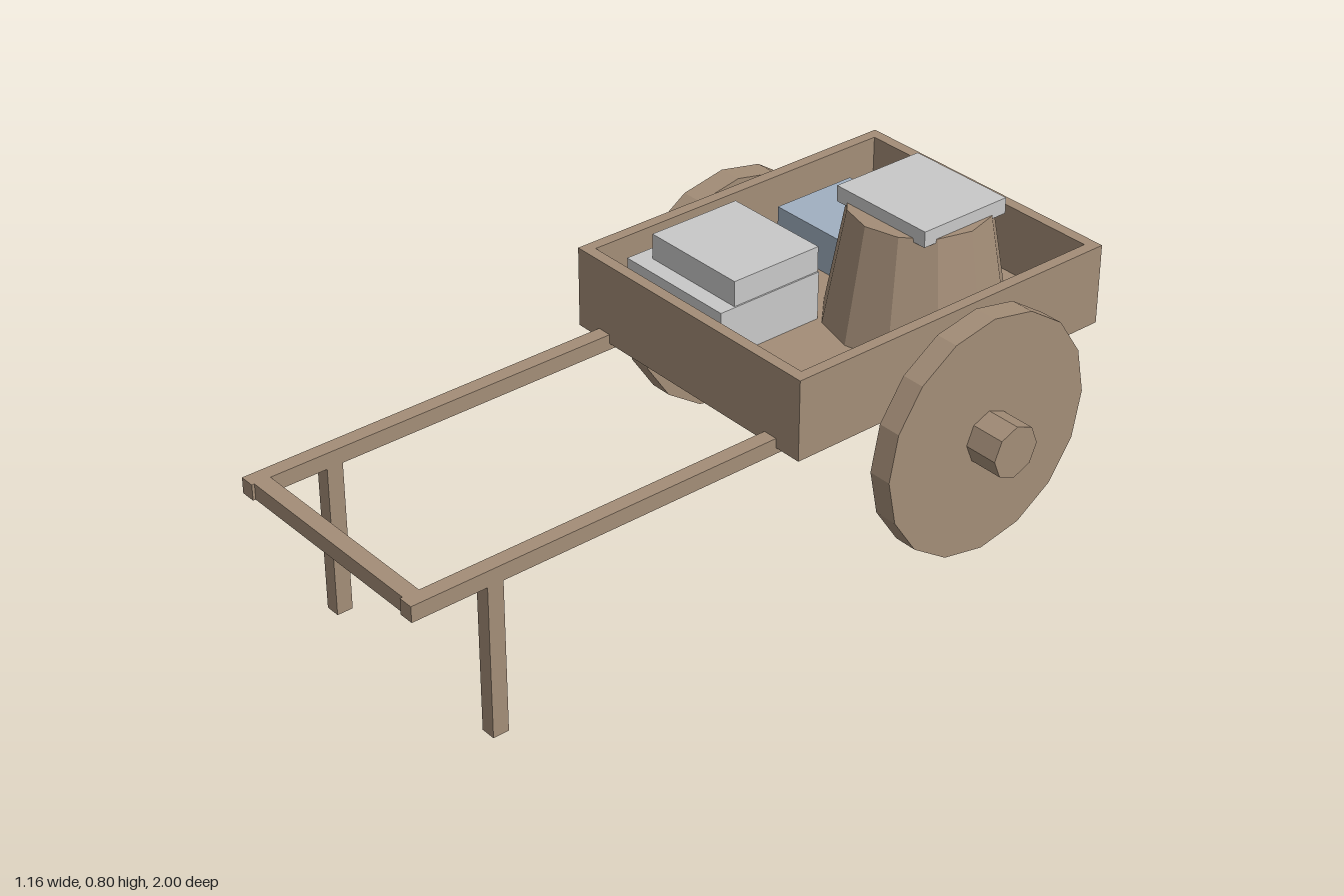
import * as THREE from 'three';

export function createModel() {
  const cart = new THREE.Group();
  cart.name = 'handcart';

  const material = (name, color) => {
    const m = new THREE.MeshStandardMaterial({ color, flatShading: true });
    m.name = name;
    return m;
  };
  const wood = material('wood', 0xa38d77);
  const grey = material('pale grey', 0xc8c8c8);
  const blue = material('dusty blue', 0xa0afc0);

  const add = (name, geometry, mat, x = 0, y = 0, z = 0) => {
    const mesh = new THREE.Mesh(geometry, mat);
    mesh.name = name;
    mesh.position.set(x, y, z);
    cart.add(mesh);
    return mesh;
  };
  // Box given by its low and high limits on each axis
  const box = (name, mat, [x0, x1], [y0, y1], [z0, z1]) =>
    add(name, new THREE.BoxGeometry(x1 - x0, y1 - y0, z1 - z0), mat,
      (x0 + x1) / 2, (y0 + y1) / 2, (z0 + z1) / 2);

  // Open tray: rectangular wall ring with a floor inside
  const rect = (Type, x0, x1, y0, y1) => new Type([
    new THREE.Vector2(x0, y0), new THREE.Vector2(x1, y0),
    new THREE.Vector2(x1, y1), new THREE.Vector2(x0, y1),
  ]);
  const ring = rect(THREE.Shape, -0.4, 0.4, 0.025, 1);
  ring.holes.push(rect(THREE.Path, -0.37, 0.37, 0.055, 0.97));
  const walls = new THREE.ExtrudeGeometry(ring, { depth: 0.215, bevelEnabled: false });
  walls.rotateX(-Math.PI / 2);
  add('trayWalls', walls, wood, 0, 0.425, 0);
  box('trayFloor', wood, [-0.37, 0.37], [0.425, 0.46], [-0.97, -0.055]);

  // Wheels, hubs, handles and legs on both sides
  for (const s of [1, -1]) {
    const side = s > 0 ? 'left' : 'right';
    const disc = (name, r, x0, x1, sides) => {
      const g = new THREE.CylinderGeometry(r, r, x1 - x0, sides);
      g.rotateZ(Math.PI / 2);
      add(name, g, wood, s * (x0 + x1) / 2, 0.32, -0.553);
    };
    disc(side + 'Wheel', 0.32, 0.422, 0.485, 16);
    disc(side + 'Hub', 0.07, 0.485, 0.578, 8);
    const span = s > 0 ? [0.283, 0.323] : [-0.323, -0.283];
    box(side + 'Handle', wood, span, [0.408, 0.45], [-0.065, 1]);
    box(side + 'Leg', wood, span, [0, 0.408], [0.757, 0.8]);
  }
  box('handleCrossbar', wood, [-0.283, 0.283], [0.408, 0.45], [0.95, 0.993]);

  // Tapered tub with a square lid
  add('tub', new THREE.CylinderGeometry(0.178, 0.231, 0.305, 12), wood, 0.13, 0.6125, -0.645);
  box('tubLid', grey, [-0.02, 0.282], [0.755, 0.797], [-0.78, -0.515]);

  // Stacked parcels and a low blue one
  box('lowerParcel', grey, [-0.355, -0.006], [0.46, 0.59], [-0.45, -0.14]);
  box('upperParcel', grey, [-0.313, -0.01], [0.59, 0.658], [-0.45, -0.185]);
  box('blueParcel', blue, [-0.34, -0.055], [0.46, 0.573], [-0.86, -0.615]);

  return cart;
}
